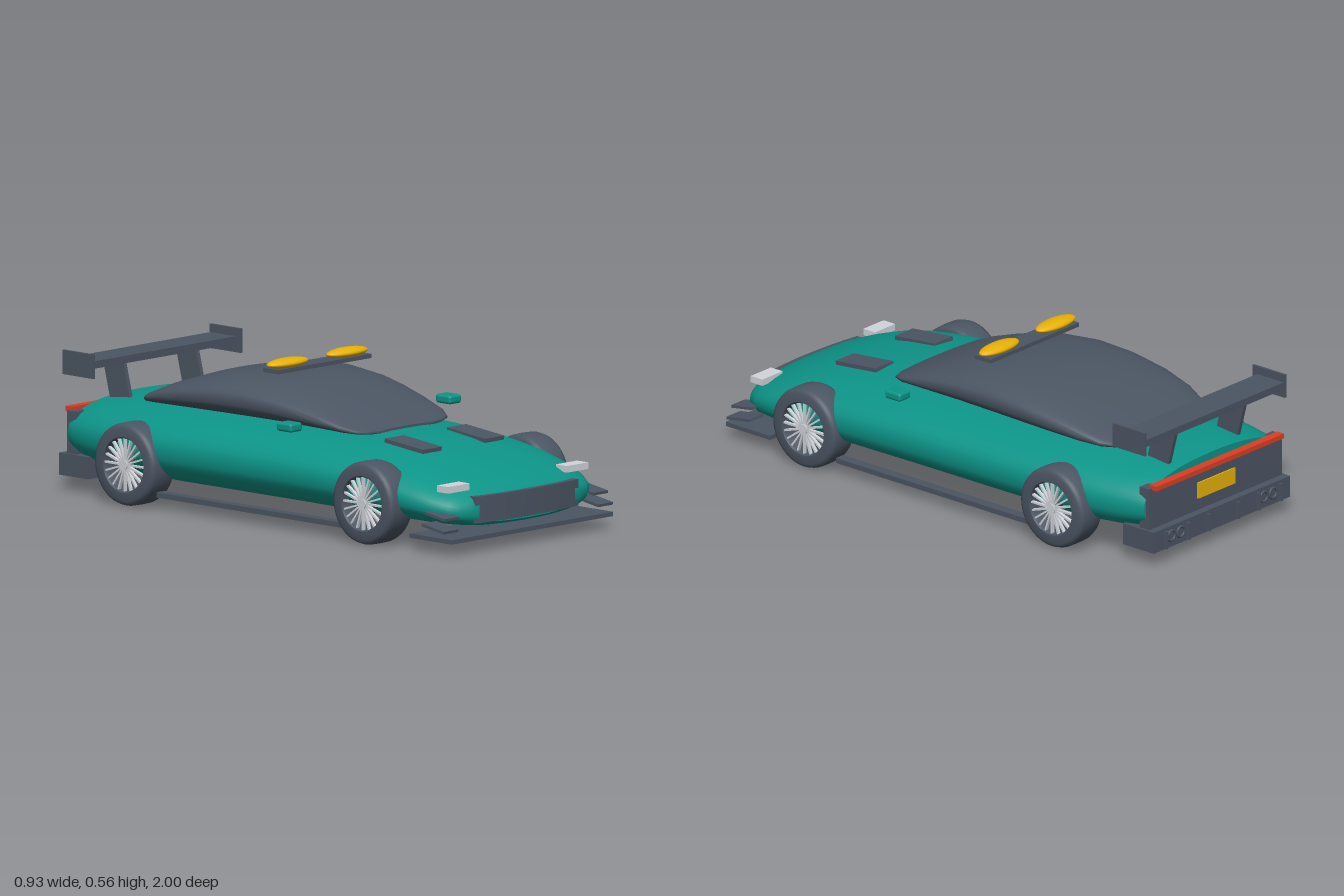
import * as THREE from 'three';
import { toCreasedNormals } from 'three/addons/utils/BufferGeometryUtils.js';
import { RoundedBoxGeometry } from 'three/addons/geometries/RoundedBoxGeometry.js';

const mat = (name, color) => {
  const m = new THREE.MeshStandardMaterial({ color });
  m.name = name;
  return m;
};

// Superellipse loft; each station is [z, halfWidth, bottom, top]
function loft(stations, nTop, nBottom, sides = 56) {
  const pos = [], idx = [];
  for (const [z, w, b, t] of stations) {
    for (let j = 0; j < sides; j++) {
      const a = (j / sides) * Math.PI * 2, c = Math.cos(a), s = Math.sin(a);
      const e = 2 / (s >= 0 ? nTop : nBottom);
      pos.push(Math.sign(c) * Math.abs(c) ** e * w,
        (b + t) / 2 + Math.sign(s) * Math.abs(s) ** e * (t - b) / 2, z);
    }
  }
  const last = stations.length - 1;
  const mid = (s) => pos.push(0, (s[2] + s[3]) / 2, s[0]) / 3 - 1;
  const front = mid(stations[0]), back = mid(stations[last]);
  for (let j = 0; j < sides; j++) {
    const k = (j + 1) % sides;
    for (let i = 0; i < last; i++) {
      const a = i * sides + j, b = i * sides + k, c = a + sides, d = b + sides;
      idx.push(a, c, b, b, c, d);
    }
    idx.push(front, j, k, back, last * sides + k, last * sides + j);
  }
  const g = new THREE.BufferGeometry();
  g.setAttribute('position', new THREE.Float32BufferAttribute(pos, 3));
  g.setIndex(idx);
  return toCreasedNormals(g, 0.7);
}

export function createModel() {
  const car = new THREE.Group();
  car.name = 'car';
  const paint = mat('teal paint', 0x0d9488);
  const dark = mat('dark grey', 0x4b5563);
  const silver = mat('silver', 0xd1d5db);
  const yellow = mat('yellow', 0xeab308);
  const red = mat('red', 0xdc3f22);

  const add = (name, geo, material, x = 0, y = 0, z = 0, parent = car) => {
    const m = new THREE.Mesh(geo, material);
    m.name = name;
    m.position.set(x, y, z);
    parent.add(m);
    return m;
  };
  // Box given by its limits on each axis
  const box = (name, material, [x0, x1], [y0, y1], [z0, z1]) =>
    add(name, new THREE.BoxGeometry(x1 - x0, y1 - y0, z1 - z0), material,
      (x0 + x1) / 2, (y0 + y1) / 2, (z0 + z1) / 2);

  // Body shell
  add('body', loft([
    [0.975, 0.27, 0.09, 0.19], [0.96, 0.325, 0.08, 0.205], [0.93, 0.365, 0.074, 0.222],
    [0.88, 0.395, 0.07, 0.243], [0.8, 0.417, 0.067, 0.272], [0.7, 0.43, 0.065, 0.3],
    [0.6, 0.436, 0.064, 0.319], [0.48, 0.439, 0.063, 0.334], [0.34, 0.44, 0.062, 0.345],
    [0.15, 0.44, 0.062, 0.354], [-0.2, 0.44, 0.062, 0.358], [-0.45, 0.438, 0.062, 0.358],
    [-0.6, 0.433, 0.064, 0.356], [-0.72, 0.422, 0.068, 0.351], [-0.82, 0.405, 0.075, 0.344],
    [-0.9, 0.385, 0.087, 0.336], [-0.94, 0.37, 0.1, 0.327],
  ], 2.35, 2.5), paint);

  // Canopy
  add('canopy', loft([
    [0.378, 0.14, 0.336, 0.35], [0.37, 0.195, 0.335, 0.355], [0.35, 0.24, 0.335, 0.365],
    [0.3, 0.27, 0.335, 0.388], [0.2, 0.29, 0.335, 0.427], [0.1, 0.304, 0.335, 0.46],
    [0, 0.316, 0.336, 0.484], [-0.15, 0.328, 0.336, 0.5], [-0.3, 0.331, 0.336, 0.491],
    [-0.45, 0.325, 0.336, 0.463], [-0.57, 0.308, 0.336, 0.425], [-0.65, 0.28, 0.336, 0.39],
    [-0.69, 0.24, 0.336, 0.37], [-0.705, 0.19, 0.337, 0.362], [-0.711, 0.13, 0.338, 0.357],
  ], 2.35, 3), dark);

  // Nose: curved grille and splitter
  const grille = new THREE.BoxGeometry(0.53, 0.096, 0.04, 16, 1, 1);
  const gp = grille.attributes.position;
  for (let i = 0; i < gp.count; i++) gp.setZ(i, gp.getZ(i) - 0.28 * gp.getX(i) ** 2);
  add('grille', toCreasedNormals(grille, 0.5), dark, 0, 0.147, 0.972);
  box('frontSplitter', dark, [-0.415, 0.415], [0.045, 0.061], [0.79, 1]);

  // Rear panel, bumper, light bar and plate
  box('rearPanel', dark, [-0.36, 0.36], [0.13, 0.29], [-0.955, -0.91]);
  box('rearBumper', dark, [-0.37, 0.37], [0.055, 0.135], [-0.985, -0.84]);
  box('tailLightBar', red, [-0.345, 0.345], [0.284, 0.302], [-0.977, -0.945]);
  box('rearPlate', yellow, [-0.1, 0.1], [0.18, 0.24], [-0.961, -0.954]);

  // Rear wing
  box('wingBlade', dark, [-0.375, 0.375], [0.455, 0.482], [-0.95, -0.825]);
  const strutShape = new THREE.Shape([[0.8, 0.32], [0.9, 0.32], [0.936, 0.46], [0.836, 0.46]]
    .map(([z, y]) => new THREE.Vector2(z, y)));
  const strutGeo = new THREE.ExtrudeGeometry(strutShape, { depth: 0.016, bevelEnabled: false });
  strutGeo.rotateY(Math.PI / 2).translate(-0.008, 0, 0);

  // Roof light bar
  box('roofLightBar', dark, [-0.24, 0.24], [0.516, 0.531], [-0.1, -0.025]);

  // Tyre outline (radius, axle position), open in the middle
  const tyreProfile = [[0.1, -0.058], [0.132, -0.058], [0.144, -0.052], [0.149, -0.038],
    [0.15, 0], [0.149, 0.038], [0.144, 0.052], [0.132, 0.058], [0.1, 0.058], [0.095, 0.05],
    [0.095, -0.05], [0.1, -0.058]].map(([r, h]) => new THREE.Vector2(r, h));
  const tyreGeo = toCreasedNormals(
    new THREE.LatheGeometry(tyreProfile, 48).rotateZ(Math.PI / 2), 0.8);
  const spokeGeo = new THREE.BoxGeometry(0.012, 0.088, 0.007).translate(0, 0.052, 0);
  const hubGeo = new THREE.CylinderGeometry(0.018, 0.018, 0.02, 20).rotateZ(Math.PI / 2);
  const lampGeo = new THREE.SphereGeometry(1, 32, 18).scale(0.1, 0.018, 0.039);
  const mirrorGeo = new RoundedBoxGeometry(0.062, 0.032, 0.074, 3, 0.01);
  const pipeGeo = new THREE.TorusGeometry(0.019, 0.005, 8, 24);

  // Everything mirrored left and right
  for (const s of [1, -1]) {
    const side = s > 0 ? 'left' : 'right';
    const sideBox = (name, m, [x0, x1], y, z) =>
      box(side + name, m, s > 0 ? [x0, x1] : [-x1, -x0], y, z);

    for (const [end, z, x] of [['Front', 0.597, 0.402], ['Rear', -0.578, 0.405]]) {
      const wheel = new THREE.Group();
      wheel.name = side + end + 'Wheel';
      wheel.position.set(s * x, 0.15, z);
      car.add(wheel);
      add('tyre', tyreGeo, dark, 0, 0, 0, wheel);
      add('hub', hubGeo, silver, s * 0.047, 0, 0, wheel);
      for (let i = 0; i < 20; i++)
        add('spoke', spokeGeo, silver, s * 0.047, 0, 0, wheel).rotation.x = (i / 20) * Math.PI * 2;
    }

    sideBox('Headlight', silver, [0.25, 0.36], [0.214, 0.238], [0.875, 0.93]);
    sideBox('Skirt', dark, [0.385, 0.425], [0.043, 0.062], [-0.45, 0.47]);
    sideBox('WingEndplate', dark, [0.374, 0.383], [0.424, 0.512], [-0.955, -0.802]);
    add(side + 'WingStrut', strutGeo, dark, s * 0.187, 0, 0);
    add(side + 'Mirror', mirrorGeo, paint, s * 0.409, 0.375, 0.192);
    add(side + 'RoofLamp', lampGeo, yellow, s * 0.153, 0.544, -0.064);

    // Hood vents and dive planes
    sideBox('HoodVent', dark, [0.112, 0.209], [0.316, 0.331], [0.47, 0.66]).rotation.x = 0.1;
    sideBox('UpperDivePlane', dark, [0.345, 0.42], [0.132, 0.142], [0.87, 0.97]).rotation.x = 0.16;
    sideBox('LowerDivePlane', dark, [0.36, 0.435], [0.09, 0.1], [0.87, 0.98]).rotation.x = 0.16;

    // Exhausts and diffuser fins
    for (const x of [0.225, 0.275]) add(side + 'Exhaust', pipeGeo, dark, s * x, 0.098, -0.986);
    for (const x of [0.08, 0.19, 0.31])
      sideBox('DiffuserFin', dark, [x - 0.004, x + 0.004], [0.06, 0.125], [-1, -0.98]);
  }
  return car;
}
